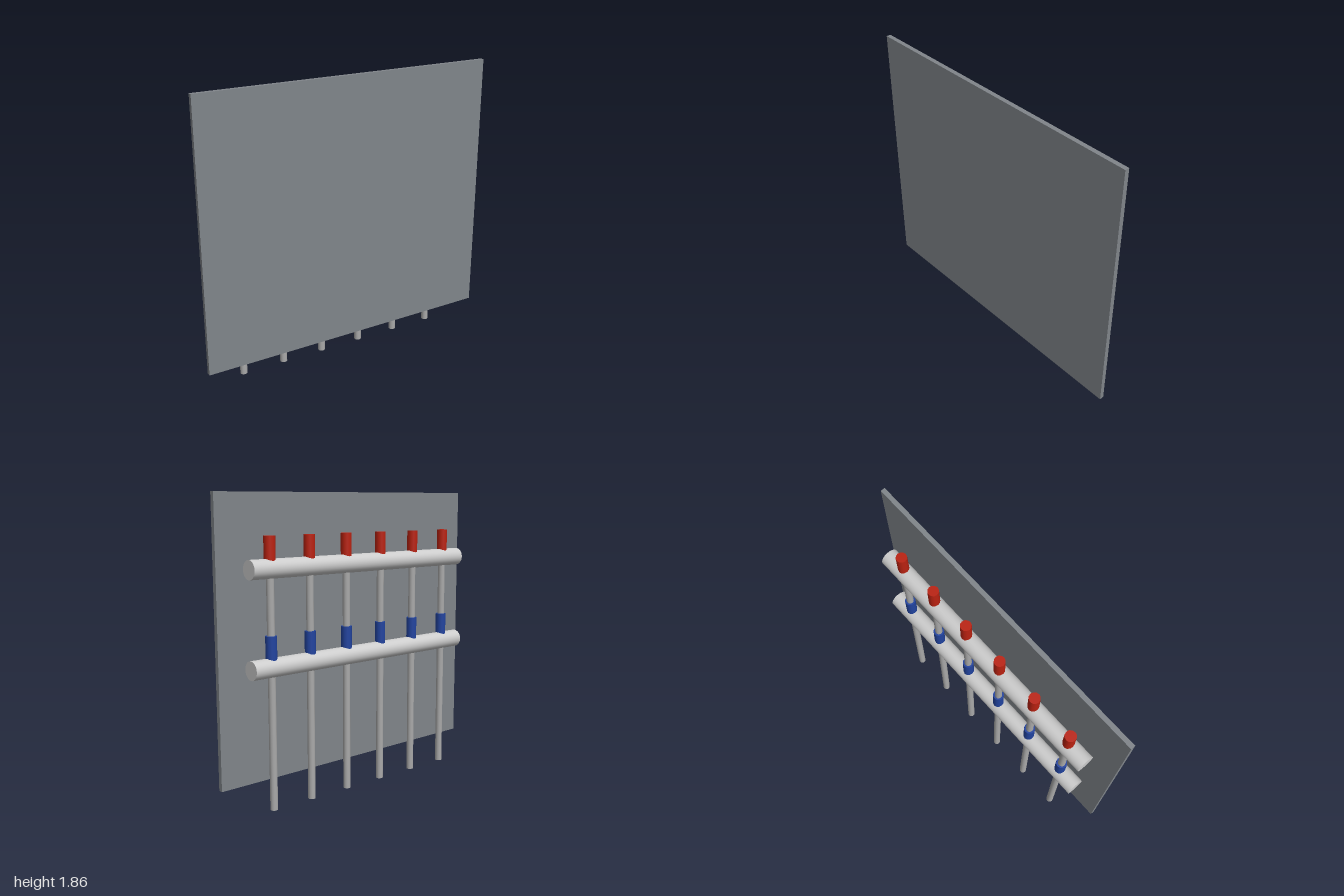
import * as THREE from 'three';

export function createModel() {
  const model = new THREE.Group();
  model.name = 'manifoldPanel';

  const mat = (name, color) => {
    const m = new THREE.MeshStandardMaterial({ color });
    m.name = name;
    return m;
  };
  const panelGrey = mat('panelGrey', 0x80858a);
  const lightGrey = mat('lightGrey', 0xcccccc);
  const pipeGrey = mat('pipeGrey', 0xaaaaaa);
  const red = mat('red', 0xbb2211);
  const blue = mat('blue', 0x2244a0);

  const add = (name, geometry, material, x, y, z) => {
    const mesh = new THREE.Mesh(geometry, material);
    mesh.name = name;
    mesh.position.set(x, y, z);
    model.add(mesh);
    return mesh;
  };

  // Flat cover panel at the front
  add('coverPanel', new THREE.BoxGeometry(2, 1.714, 0.0286), panelGrey, 0, 1.003, 0.0857);

  // Two horizontal header pipes behind the panel
  const pipeZ = -0.043;
  const upperY = 1.43;
  const lowerY = 0.859;
  const headerGeo = new THREE.CylinderGeometry(0.057, 0.057, 1.714, 32).rotateZ(Math.PI / 2);
  add('upperHeader', headerGeo, lightGrey, 0, upperY, pipeZ);
  add('lowerHeader', headerGeo, lightGrey, 0, lowerY, pipeZ);

  // Vertical pipes, each with a red and a blue valve standing on the headers
  const pipeGeo = new THREE.CylinderGeometry(0.023, 0.023, upperY, 12);
  const valveHeight = 0.186;
  const valveGeo = new THREE.CylinderGeometry(0.034, 0.034, valveHeight, 12);
  for (let i = 0; i < 6; i++) {
    const x = (i - 2.5) * 0.2857;
    add('verticalPipe', pipeGeo, pipeGrey, x, upperY / 2, pipeZ);
    add('redValve', valveGeo, red, x, upperY + valveHeight / 2, pipeZ);
    add('blueValve', valveGeo, blue, x, lowerY + valveHeight / 2, pipeZ);
  }

  return model;
}
